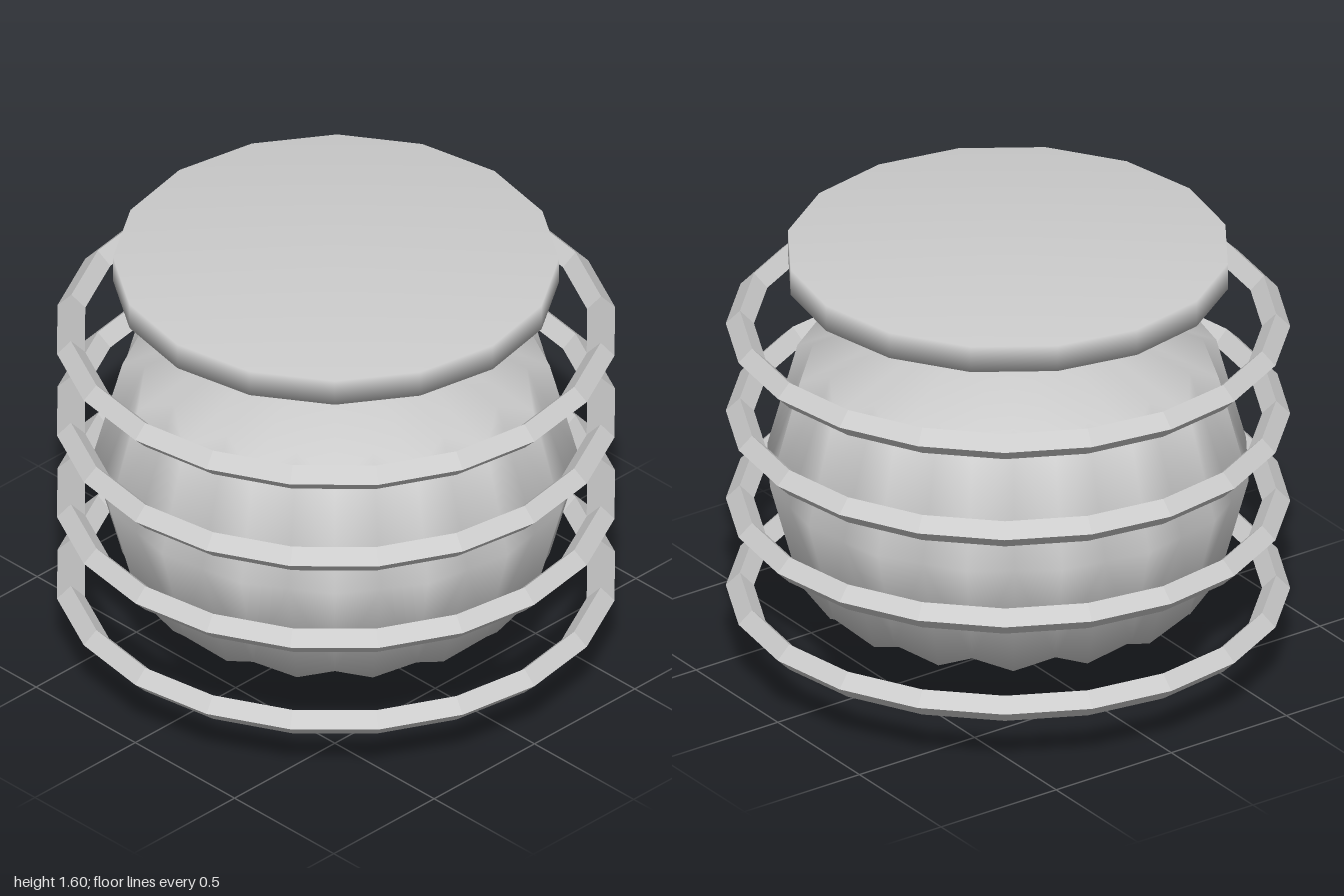
import * as THREE from 'three';

const SIDES = 16;
const MID = 0.74;

// Pleated body: rows of vertices around y, closed by a pole at each end
function pleatedBody() {
  const n = SIDES * 2;
  const even = { r: 0.757, h: 0.4 };   // pleat valleys, lower and wider
  const odd = { r: 0.69, h: 0.48 };    // pleat ridges, higher and narrower
  const pos = [0, 0, 0];
  const index = [];
  for (const row of [-1, 0, 1]) {
    for (let i = 0; i < n; i++) {
      const a = (i / n) * Math.PI * 2;
      const p = i % 2 ? odd : even;
      const r = row ? p.r : (i % 2 ? 0.865 * Math.cos(Math.PI / SIDES) : 0.865);
      pos.push(Math.cos(a) * r, MID + row * p.h, Math.sin(a) * r);
    }
  }
  pos.push(0, 1.475, 0);
  const top = 1 + 3 * n;
  for (let i = 0; i < n; i++) {
    const j = (i + 1) % n;
    index.push(0, 1 + i, 1 + j);
    for (let k = 0; k < 2; k++) {
      const a = 1 + k * n + i, b = 1 + k * n + j;
      // Split each quad so the folds mirror about every pleat
      if (i % 2) index.push(a, a + n, b, b, a + n, b + n);
      else index.push(a, a + n, b + n, a, b + n, b);
    }
    index.push(top, 1 + 2 * n + j, 1 + 2 * n + i);
  }
  const g = new THREE.BufferGeometry();
  g.setAttribute('position', new THREE.Float32BufferAttribute(pos, 3));
  g.setIndex(index);
  g.computeVertexNormals();
  return g;
}

export function createModel() {
  const group = new THREE.Group();
  const grey = new THREE.MeshStandardMaterial({ color: 0xcccccc });
  grey.name = 'light grey';

  const add = (name, geometry) => {
    const mesh = new THREE.Mesh(geometry, grey);
    mesh.name = name;
    group.add(mesh);
    return mesh;
  };

  add('body', pleatedBody());

  // Softly shaded disc floating over the body
  const cap = [[0, 1.495], [0.79, 1.495], [0.79, 1.595], [0, 1.595]]
    .map(([x, y]) => new THREE.Vector2(x, y));
  add('cap', new THREE.LatheGeometry(cap, SIDES));

  // Four faceted hoops with a diamond section
  const hoop = new THREE.TorusGeometry(0.95, 0.05, 4, 20).rotateX(Math.PI / 2).toNonIndexed();
  hoop.computeVertexNormals();
  for (let i = 0; i < 4; i++) {
    add('hoop' + (i + 1), hoop).position.y = 0.245 + i * 0.347;
  }
  return group;
}
